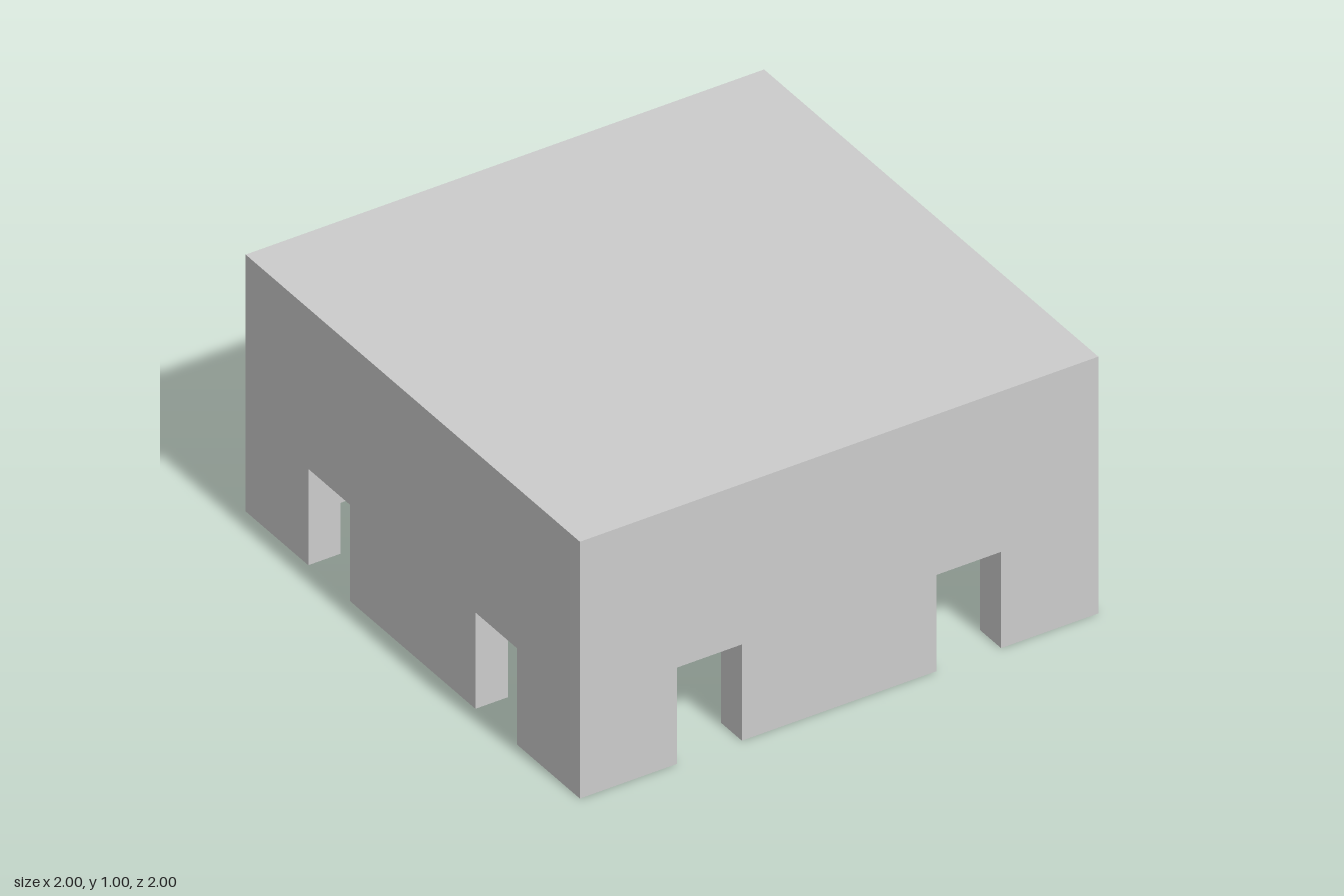
import * as THREE from 'three';

const H = 1;              // overall height
const T = 0.125;          // wall and roof thickness
const IN = 1 - T;         // inner half-width
const SLOT = [0.375, 0.625], SLOT_H = 0.375;

// Lower edge of one wall, left to right, stepping up over two slots
function lowerEdge(halfWidth) {
  const [a, b] = SLOT;
  return [
    [-halfWidth, 0], [-b, 0], [-b, SLOT_H], [-a, SLOT_H], [-a, 0],
    [a, 0], [a, SLOT_H], [b, SLOT_H], [b, 0], [halfWidth, 0],
  ];
}

// Flat wall face with the slotted lower edge
function wallFace(halfWidth, top) {
  const points = [...lowerEdge(halfWidth), [halfWidth, top], [-halfWidth, top]];
  return new THREE.ShapeGeometry(new THREE.Shape(points.map(p => new THREE.Vector2(...p))));
}

// Strip joining the outer and inner lower edges, mitred at the corners
function rimStrip() {
  const outer = lowerEdge(1).map(([x, y]) => [x, y, 1]);
  const inner = lowerEdge(IN).map(([x, y]) => [x, y, IN]);
  const positions = [];
  for (let i = 0; i < outer.length - 1; i++) {
    const [o0, o1, i0, i1] = [outer[i], outer[i + 1], inner[i], inner[i + 1]];
    positions.push(...o0, ...i0, ...i1, ...o0, ...i1, ...o1);
  }
  const geometry = new THREE.BufferGeometry();
  geometry.setAttribute('position', new THREE.Float32BufferAttribute(positions, 3));
  geometry.computeVertexNormals();
  return geometry;
}

export function createModel() {
  const model = new THREE.Group();
  model.name = 'slottedCover';
  const material = new THREE.MeshStandardMaterial({ color: 0xcccccc, flatShading: true });
  const add = (parent, name, geometry) => {
    const mesh = new THREE.Mesh(geometry, material);
    mesh.name = name;
    parent.add(mesh);
  };

  // Four identical walls around the centre
  const outside = wallFace(1, H).translate(0, 0, 1);
  const inside = wallFace(IN, H - T).rotateY(Math.PI).translate(0, 0, IN);
  const rim = rimStrip();
  ['frontWall', 'leftWall', 'backWall', 'rightWall'].forEach((name, i) => {
    const wall = new THREE.Group();
    wall.name = name;
    wall.rotation.y = i * Math.PI / 2;
    add(wall, 'outerFace', outside);
    add(wall, 'innerFace', inside);
    add(wall, 'slottedRim', rim);
    model.add(wall);
  });

  // Roof outside and ceiling of the hollow
  add(model, 'roof', new THREE.PlaneGeometry(2, 2).rotateX(-Math.PI / 2).translate(0, H, 0));
  add(model, 'ceiling', new THREE.PlaneGeometry(2 * IN, 2 * IN).rotateX(Math.PI / 2).translate(0, H - T, 0));
  return model;
}
